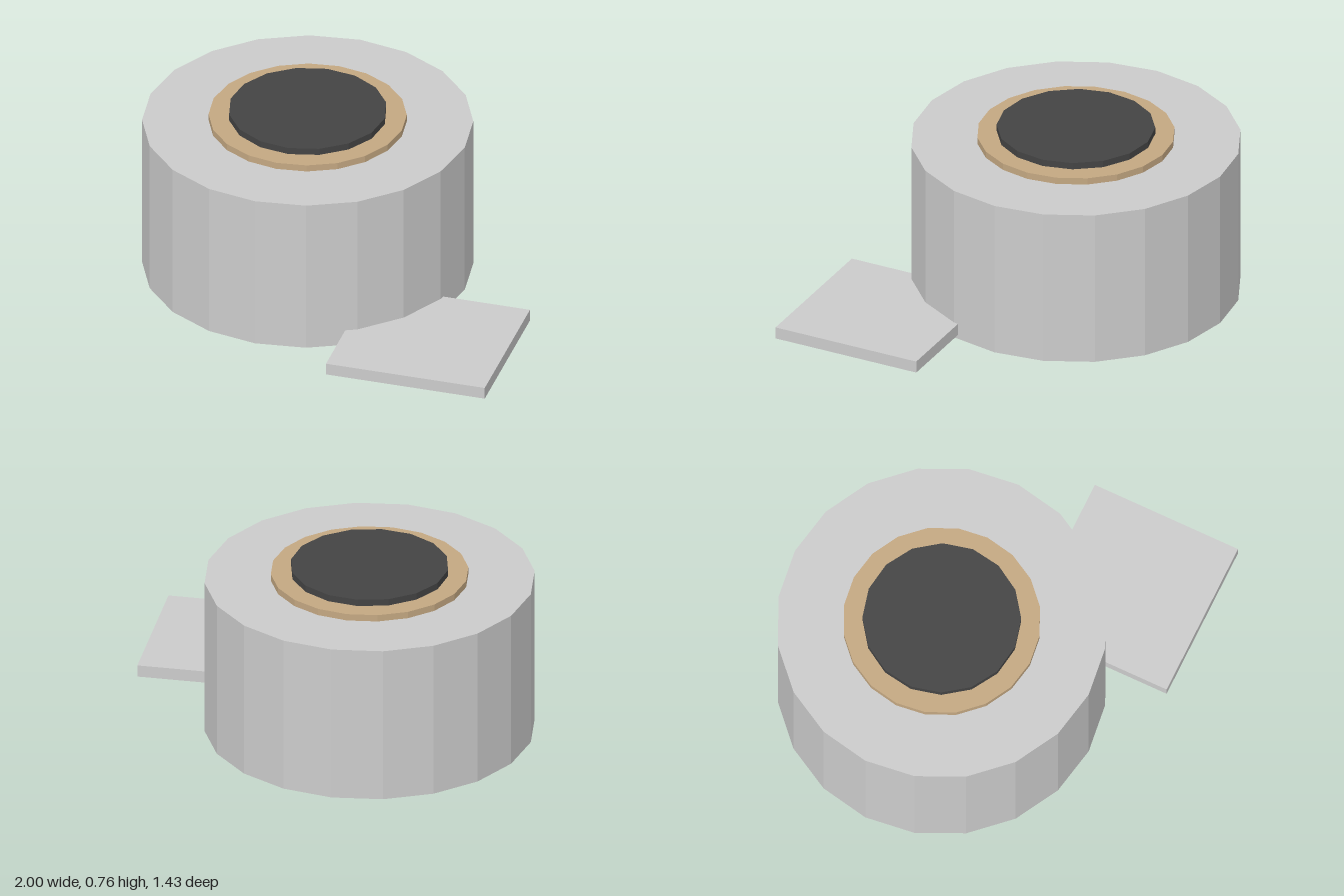
import * as THREE from 'three';

const material = (color) => new THREE.MeshStandardMaterial({ color, flatShading: true });

export function createModel() {
  const group = new THREE.Group();
  const add = (name, geometry, mat, x, y, z) => {
    const mesh = new THREE.Mesh(geometry, mat);
    mesh.name = name;
    mesh.position.set(x, y, z);
    group.add(mesh);
    return mesh;
  };
  const grey = material(0xcccccc);

  // Concentric drums, each rising a little above the one around it;
  // the inner ones start just above the floor to keep the underside clean
  const drums = [
    ['outerRoll', 0.705, 0, 0.705, 20, grey],
    ['coreTube', 0.422, 0.005, 0.735, 20, material(0xc4a882)],
    ['innerPlug', 0.338, 0.01, 0.765, 16, material(0x444444)],
  ];
  for (const [name, radius, bottom, top, sides, mat] of drums) {
    const geometry = new THREE.CylinderGeometry(radius, radius, top - bottom, sides);
    add(name, geometry, mat, -0.295, (bottom + top) / 2, -0.01);
  }

  // Flat loose end, turned and partly sunk into the roll
  const flap = add('looseEnd', new THREE.BoxGeometry(0.705, 0.053, 0.675), grey, 0.553, 0.045, 0.274);
  flap.rotation.y = THREE.MathUtils.degToRad(20);

  return group;
}
